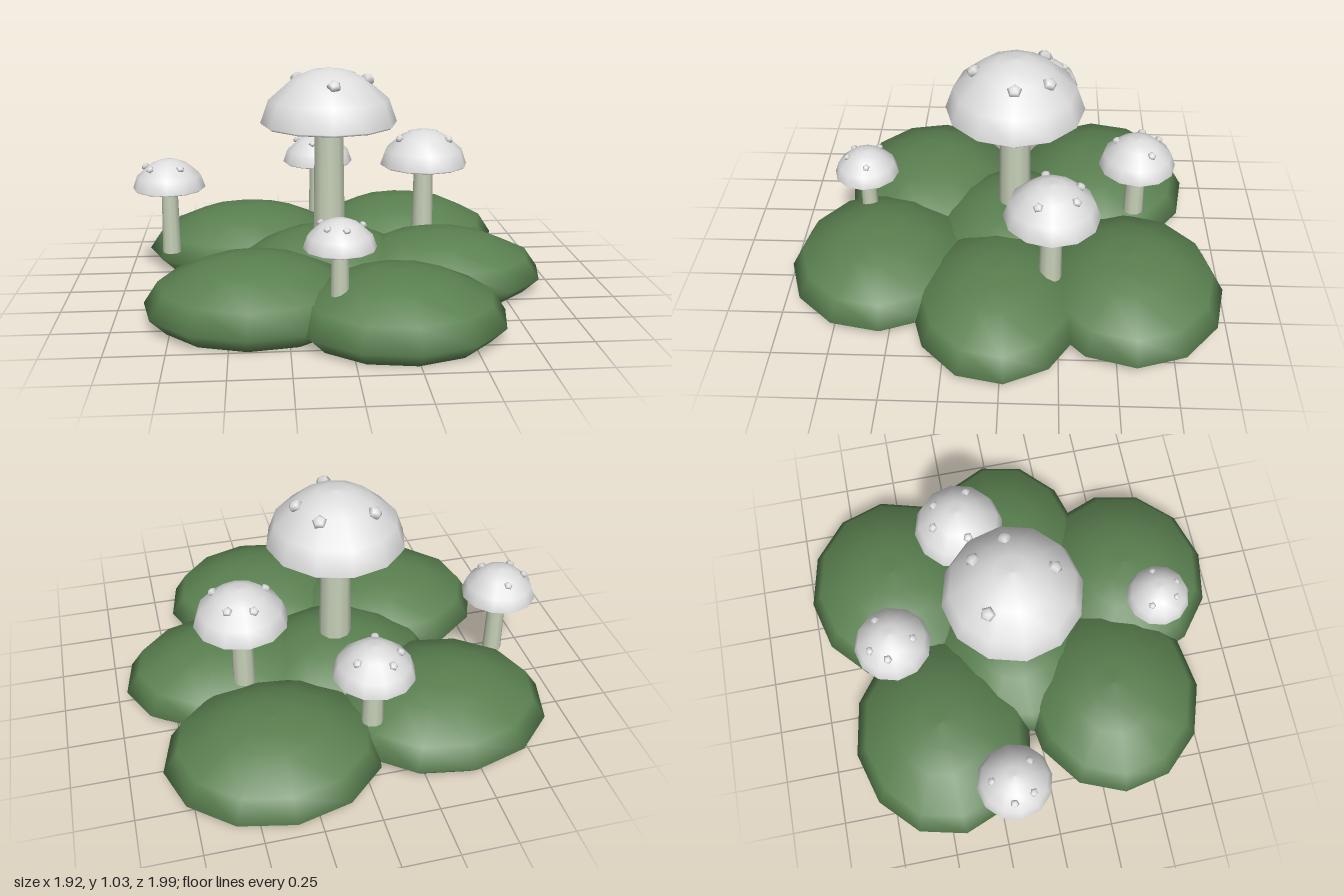
import * as THREE from 'three';

const mat = (name, color) => {
  const m = new THREE.MeshStandardMaterial({ color });
  m.name = name;
  return m;
};

const lathe = (points, sides) =>
  new THREE.LatheGeometry(points.map(([r, y]) => new THREE.Vector2(r, y)), sides);

// Grassy mounds: x, z, x radius, z radius, height, twist of the outline
const MOUNDS = [
  [-0.42, -0.46, 0.50, 0.43, 0.28, 0.06],
  [0.37, -0.57, 0.485, 0.43, 0.285, 0.02],
  [0.47, 0.02, 0.49, 0.39, 0.27, 0.10],
  [0.21, 0.57, 0.465, 0.425, 0.275, 0.08],
  [-0.39, 0.38, 0.485, 0.43, 0.285, -0.08],
  [-0.05, -0.04, 0.45, 0.40, 0.275, 0.04],
];

// Mushrooms: x, z, cap radius, cap bottom, cap top, stem radius, stem bottom, spot size, spot [x, z] offsets
const MUSHROOMS = [
  ['main', -0.04, -0.04, 0.315, 0.77, 1.03, 0.07, 0.2, 0.034,
    [[-0.14, -0.13], [0.11, -0.15], [0.18, 0], [0.01, 0.185]]],
  ['left', 0.43, -0.21, 0.21, 0.53, 0.705, 0.047, 0.2, 0.023,
    [[-0.04, -0.12], [0.07, -0.1], [0.11, 0.06], [-0.12, 0.03]]],
  ['right', -0.79, -0.18, 0.17, 0.445, 0.587, 0.04, 0.13, 0.02,
    [[0, -0.1], [-0.11, -0.02], [-0.08, 0.07], [0.06, 0.08]]],
  ['back', -0.06, -0.61, 0.178, 0.46, 0.61, 0.044, 0.2, 0.021,
    [[-0.05, -0.1], [0.09, -0.055], [-0.105, -0.025], [-0.03, 0.1]]],
  ['front', -0.045, 0.66, 0.15, 0.4, 0.525, 0.036, 0.18, 0.017,
    [[-0.075, -0.055], [0.095, -0.015], [-0.055, 0.065], [0.02, 0.085]]],
];

export function createModel() {
  const grass = mat('grass green', 0x5a8050);
  const capWhite = mat('cap white', 0xdedede);
  const stemPale = mat('stem pale green', 0xc6d0b8);
  const model = new THREE.Group();
  model.name = 'mushroomPatch';

  const add = (parent, name, geometry, material) => {
    const mesh = new THREE.Mesh(geometry, material);
    mesh.name = name;
    parent.add(mesh);
    return mesh;
  };

  // Flattened domes with a flat base; the repeated point keeps the base edge sharp
  for (const [x, z, rx, rz, h, twist] of MOUNDS) {
    const dome = lathe([[0, 0], [0.85, 0], [0.85, 0], [1, 0.25], [0.87, 0.59], [0.5, 0.88], [0.25, 0.97], [0, 1]], 12);
    dome.rotateY(twist).scale(rx, h, rz);
    add(model, 'mound', dome, grass).position.set(x, 0, z);
  }

  const up = new THREE.Vector3(0, 1, 0);
  for (const [name, x, z, R, y0, y1, sr, sy, spot, spots] of MUSHROOMS) {
    const mushroom = new THREE.Group();
    mushroom.name = name + 'Mushroom';
    mushroom.position.set(x, 0, z);
    model.add(mushroom);
    const H = y1 - y0;

    // Slightly tapered stem
    const stem = new THREE.CylinderGeometry(sr * 0.95, sr * 1.1, y0 + H * 0.2 - sy, 10);
    stem.translate(0, (y0 + H * 0.2 + sy) / 2, 0);
    add(mushroom, 'stem', stem, stemPale);

    // Domed cap with a shallow hollow underneath
    const cap = lathe([[0, 0.08], [0.6, 0.04], [0.96, 0], [0.96, 0], [1, 0.04],
      [0.88, 0.45], [0.52, 0.83], [0.26, 0.96], [0, 1]], 12);
    cap.scale(R, H, R);
    add(mushroom, 'cap', cap, capWhite).position.y = y0;

    // Small five-sided spots tilted to follow the cap
    for (const [dx, dz] of spots) {
      const y = H * 0.97 * Math.sqrt(1 - (dx * dx + dz * dz) / (R * R));
      const normal = new THREE.Vector3(dx / (R * R), y / (H * H), dz / (R * R)).normalize();
      const bump = new THREE.SphereGeometry(spot, 5, 4).scale(1, 0.7, 1);
      const mesh = add(mushroom, 'capSpot', bump, capWhite);
      mesh.position.set(dx, y0 + y, dz);
      mesh.quaternion.setFromUnitVectors(up, normal);
    }
  }
  return model;
}
